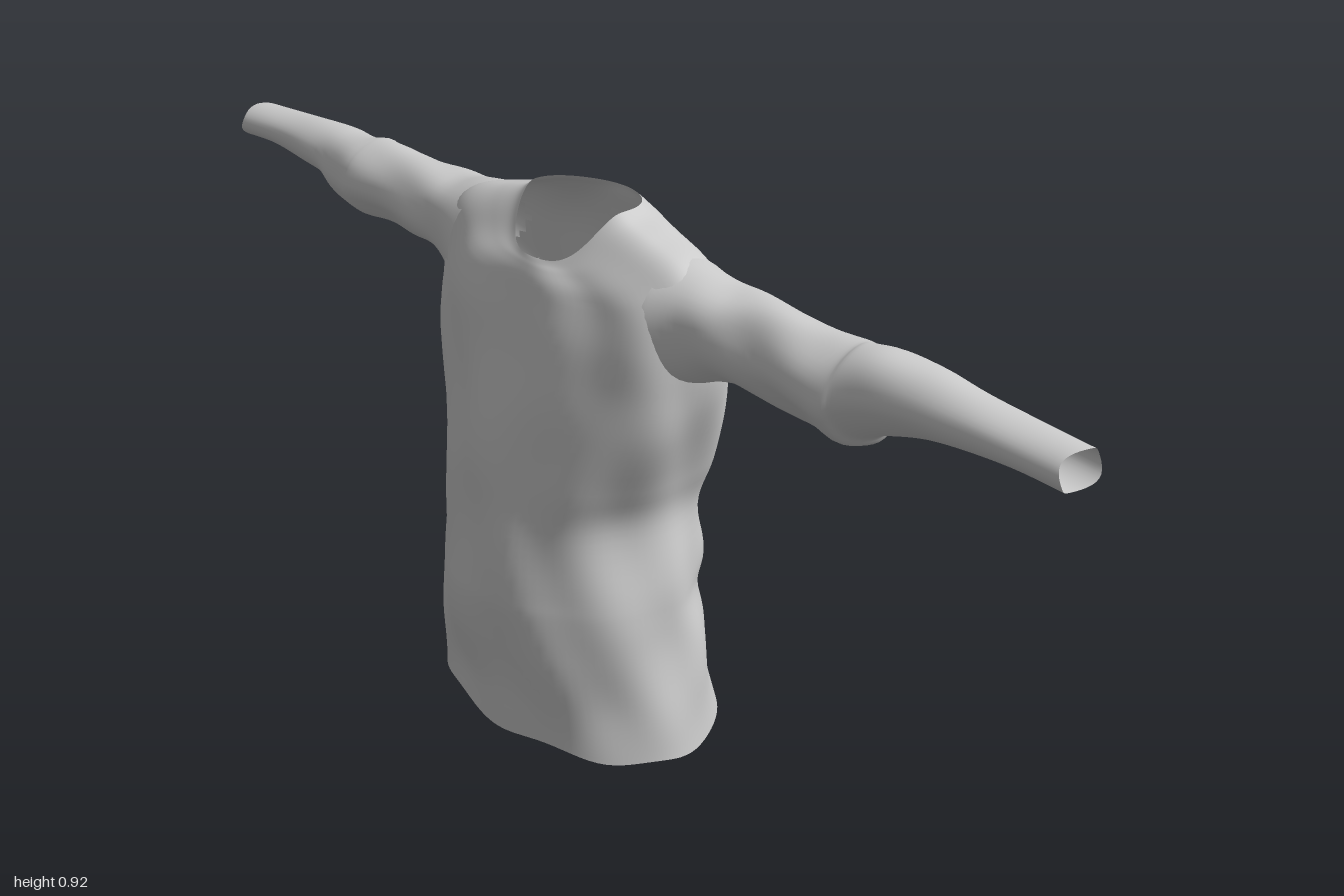
import * as THREE from 'three';

const material = new THREE.MeshStandardMaterial({ color: 0xcccccc, side: THREE.DoubleSide });

// Smoothly interpolate every column of a table of cross-sections
function sample(rows, t) {
  const last = rows.length - 1;
  const i = Math.min(Math.floor(t), last - 1);
  const f = t - i;
  const row = k => rows[Math.max(0, Math.min(last, k))];
  return rows[0].map((_, c) => {
    const [a, b, d, e] = [row(i - 1)[c], row(i)[c], row(i + 1)[c], row(i + 2)[c]];
    const m0 = (d - a) / 2, m1 = (e - b) / 2;
    return b + f * (m0 + f * (3 * (d - b) - 2 * m0 - m1 + f * (2 * (b - d) + m0 + m1)));
  });
}

// Skin closed cross-sections; quads where cut(point) is true are left open
function loft(name, rows, pointAt, steps, sides, cut = () => false) {
  const position = [], index = [];
  const rings = (rows.length - 1) * steps;
  for (let i = 0; i <= rings; i++) {
    const section = sample(rows, i / steps);
    for (let j = 0; j < sides; j++) {
      position.push(...pointAt(section, (j / sides) * Math.PI * 2, i / rings));
    }
  }
  for (let i = 0; i < rings; i++) {
    for (let j = 0; j < sides; j++) {
      const a = i * sides + j, b = i * sides + (j + 1) % sides;
      const c = a + sides, d = b + sides;
      const centre = [0, 1, 2].map(k =>
        (position[a * 3 + k] + position[b * 3 + k] + position[c * 3 + k] + position[d * 3 + k]) / 4);
      if (!cut(...centre)) index.push(a, c, b, b, c, d);
    }
  }
  const geometry = new THREE.BufferGeometry();
  geometry.setAttribute('position', new THREE.Float32BufferAttribute(position, 3));
  geometry.setIndex(index);
  geometry.computeVertexNormals();
  const mesh = new THREE.Mesh(geometry, material);
  mesh.name = name;
  return mesh;
}

const bump = (v, centre, width) => Math.exp(-(((v - centre) / width) ** 2));
const power = (v, p) => Math.sign(v) * Math.abs(v) ** p;

// Torso sections: side y, front y, back y, right width, left width, front z, back z
const torsoRows = [
  [0.018, 0.03, 0.025, 0.283, 0.262, 0.190, 0.215],
  [0.10, 0.10, 0.10, 0.272, 0.253, 0.192, 0.194],
  [0.19, 0.19, 0.19, 0.264, 0.243, 0.210, 0.184],
  [0.26, 0.26, 0.26, 0.255, 0.237, 0.217, 0.160],
  [0.31, 0.31, 0.31, 0.249, 0.231, 0.214, 0.177],
  [0.42, 0.42, 0.42, 0.236, 0.212, 0.204, 0.188],
  [0.50, 0.50, 0.50, 0.238, 0.236, 0.196, 0.190],
  [0.60, 0.60, 0.60, 0.256, 0.280, 0.174, 0.182],
  [0.68, 0.68, 0.68, 0.284, 0.292, 0.153, 0.170],
  [0.76, 0.74, 0.75, 0.294, 0.293, 0.138, 0.153],
  [0.835, 0.785, 0.81, 0.285, 0.282, 0.122, 0.137],
  [0.874, 0.81, 0.855, 0.252, 0.250, 0.113, 0.121],
  [0.893, 0.827, 0.89, 0.180, 0.180, 0.105, 0.106],
  [0.906, 0.835, 0.906, 0.130, 0.128, 0.101, 0.100],
  [0.920, 0.841, 0.914, 0.109, 0.103, 0.098, 0.096],
];

function torsoPoint([ySide, yFront, yBack, right, left, front, back], angle, t) {
  const c = Math.cos(angle), s = Math.sin(angle);
  const square = 2 / (2 + 0.3 * bump(t, 0.68, 0.15));
  const x = power(c, square) * (c > 0 ? left : right);
  const z = power(s, square) * (s > 0 ? front : back);
  let y = ySide + ((s > 0 ? yFront : yBack) - ySide) * (1 - c ** 4);
  // Wavy hem, lower at the left
  const hem = bump(t, 0, 0.05);
  y += hem * (-0.014 * c + 0.005 * Math.sin(angle * 7));
  // Soft drapery, diagonal folds at the back and hollows under the arms
  const calm = Math.min(1, (1 - t) * 4);
  let fold = 0.003 * Math.sin(5 * angle + 22 * y) + 0.003 * Math.sin(9 * angle - 15 * y + 1);
  fold += 0.005 * Math.max(0, -s) * Math.sin(38 * y - 27 * Math.abs(x)) * bump(y, 0.38, 0.14);
  fold -= 0.013 * bump(s, 0, 0.35) * bump(y, 0.6, 0.07);
  fold += 0.01 * bump(Math.abs(c), 0.75, 0.18) * bump(y, 0.6, 0.13);
  fold *= calm * (1 - 0.6 * hem);
  return [x + c * fold, y, z + s * fold];
}

const inArmhole = (x, y, z) =>
  Math.abs(x) > 0.2 && ((y - 0.785) / 0.072) ** 2 + ((z + 0.02) / 0.068) ** 2 < 1;

// Sleeve sections: distance out, top y, bottom y, front z, back z
const leftRows = [
  [0.235, 0.876, 0.665, 0.086, -0.116],
  [0.285, 0.867, 0.688, 0.066, -0.105],
  [0.33, 0.860, 0.706, 0.055, -0.099],
  [0.38, 0.857, 0.708, 0.047, -0.097],
  [0.46, 0.855, 0.695, 0.042, -0.099],
  [0.54, 0.847, 0.676, 0.042, -0.104],
  [0.585, 0.845, 0.670, 0.044, -0.116],
  [0.605, 0.850, 0.692, 0.036, -0.100],
  [0.65, 0.855, 0.715, 0.024, -0.104],
  [0.72, 0.848, 0.738, 0.010, -0.104],
  [0.80, 0.836, 0.754, 0.004, -0.101],
  [0.90, 0.826, 0.759, -0.003, -0.099],
  [0.995, 0.820, 0.755, -0.006, -0.098],
];
const rightRows = [
  [0.235, 0.876, 0.660, 0.088, -0.118],
  [0.285, 0.868, 0.692, 0.068, -0.106],
  [0.33, 0.860, 0.713, 0.056, -0.100],
  [0.38, 0.857, 0.718, 0.050, -0.098],
  [0.48, 0.855, 0.711, 0.045, -0.101],
  [0.58, 0.851, 0.701, 0.045, -0.106],
  [0.605, 0.850, 0.700, 0.043, -0.114],
  [0.63, 0.847, 0.703, 0.037, -0.101],
  [0.68, 0.843, 0.712, 0.025, -0.103],
  [0.73, 0.840, 0.742, 0.012, -0.104],
  [0.80, 0.835, 0.755, 0.006, -0.102],
  [0.90, 0.825, 0.763, -0.002, -0.100],
  [0.995, 0.818, 0.758, -0.004, -0.099],
];

function sleeve(name, rows, side) {
  return loft(name, rows, ([out, top, bottom, front, back], angle, t) => {
    const c = Math.cos(angle), s = -side * Math.sin(angle);
    const ruffle = 1 + Math.min(1, t * 5) * (1 - t) *
      (0.04 * Math.sin(34 * out + 3 * angle * side) + 0.03 * Math.sin(5 * angle * side - 21 * out));
    const x = out + 0.005 * bump(t, 1, 0.06) * Math.sin(3 * angle + 1);
    // Loose cloth sags backwards under the elbow
    const sag = 0.042 * Math.max(0, -c) * bump(out, 0.56, 0.13);
    return [
      side * x,
      (top + bottom) / 2 + c * ruffle * (top - bottom) / 2,
      (front + back) / 2 + s * ruffle * (front - back) / 2 - sag,
    ];
  }, 5, 36);
}

export function createModel() {
  const shirt = new THREE.Group();
  shirt.name = 'longSleevedShirt';
  shirt.add(
    loft('torso', torsoRows, torsoPoint, 6, 96, inArmhole),
    sleeve('leftSleeve', leftRows, 1),
    sleeve('rightSleeve', rightRows, -1),
  );
  return shirt;
}
